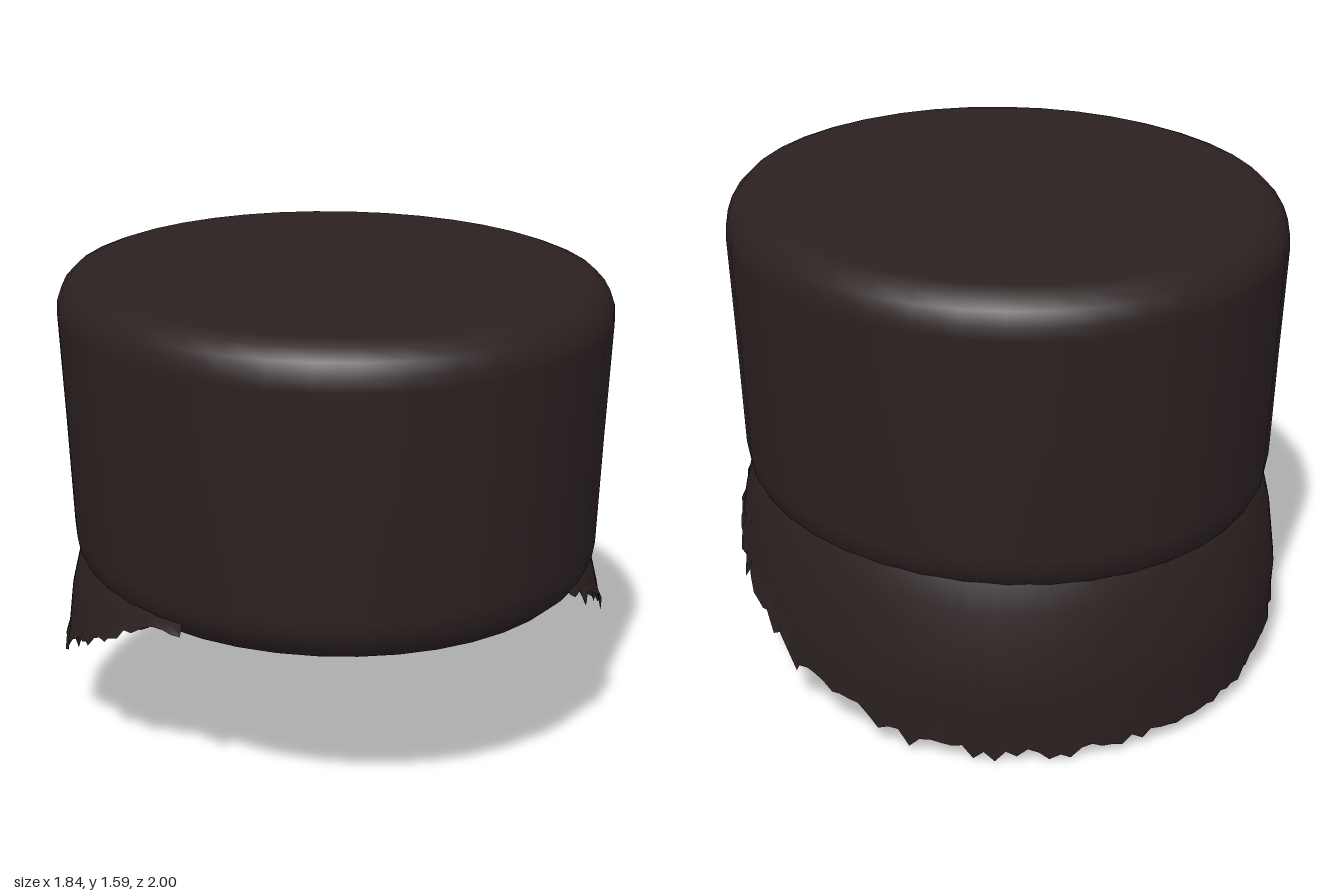
import * as THREE from 'three';

const lerp = THREE.MathUtils.lerp;

// Piecewise-linear lookup in a list of [key, value] pairs with rising keys
function lookup(points, key) {
  for (let i = 1; i < points.length; i++) {
    const [k0, v0] = points[i - 1], [k1, v1] = points[i];
    if (key <= k1) return lerp(v0, v1, Math.max(0, (key - k0) / (k1 - k0)));
  }
  return points[points.length - 1][1];
}

// Small seeded random generator
function makeRandom(seed) {
  return () => {
    seed = (seed * 16807) % 2147483647;
    return seed / 2147483647;
  };
}

// Oval drum with rounded top and bottom edges
function crownGeometry() {
  const profile = [
    [0, 0.56], [0.78, 0.56], [0.82, 0.561], [0.88, 0.576], [0.925, 0.612],
    [0.952, 0.66], [0.963, 0.72], [0.981, 1.1], [1.0, 1.45], [0.997, 1.49],
    [0.98, 1.535], [0.945, 1.57], [0.9, 1.586], [0.85, 1.59], [0.8, 1.59], [0, 1.59],
  ].map(([r, y]) => new THREE.Vector2(r, y));
  return new THREE.LatheGeometry(profile, 40).scale(0.91, 1, 1);
}

// Open shell around the back and sides, ending in a ragged lower edge
function hairGeometry() {
  const columns = 120, rows = 8, sweep = THREE.MathUtils.degToRad(133);
  const bulge = [[0, 0.945], [0.15, 0.97], [0.3, 0.98], [0.5, 0.955], [0.62, 0.925], [0.7, 0.89]];
  const hem = [
    [-0.95, 0.03], [-0.75, 0.06], [-0.6, 0.13], [-0.38, 0.18], [-0.25, 0.28],
    [0, 0.35], [0.2, 0.42], [0.4, 0.52], [0.55, 0.58], [0.65, 0.61],
  ];
  const random = makeRandom(77);
  const positions = [], indices = [];
  for (let i = 0; i <= columns; i++) {
    const angle = lerp(-sweep, sweep, i / columns);
    const z = -0.96 * Math.cos(angle);
    // Mostly shallow notches, with an occasional long lock
    const jag = (random() - 0.5) * 0.035 - (random() > 0.85 ? 0.045 : 0);
    const bottom = Math.max(0, lookup(hem, z) + jag);
    const flare = random() * 0.012;
    for (let j = 0; j <= rows; j++) {
      const y = lerp(0.7, bottom, j / rows);
      const r = lookup(bulge, y) + (j === rows ? flare : 0);
      positions.push(0.935 * r * Math.sin(angle), y, -r * Math.cos(angle));
      if (i < columns && j < rows) {
        const a = i * (rows + 1) + j, b = a + rows + 1;
        indices.push(a, b, a + 1, b, b + 1, a + 1);
      }
    }
  }
  const geometry = new THREE.BufferGeometry();
  geometry.setAttribute('position', new THREE.Float32BufferAttribute(positions, 3));
  geometry.setIndex(indices);
  geometry.computeVertexNormals();
  return geometry;
}

export function createModel() {
  const group = new THREE.Group();
  group.name = 'hairPiece';
  const darkBrown = new THREE.MeshStandardMaterial({ color: 0x2c2121, side: THREE.DoubleSide });
  darkBrown.name = 'dark brown';

  const crown = new THREE.Mesh(crownGeometry(), darkBrown);
  crown.name = 'crown';
  const backHair = new THREE.Mesh(hairGeometry(), darkBrown);
  backHair.name = 'backHair';
  group.add(crown, backHair);
  return group;
}
